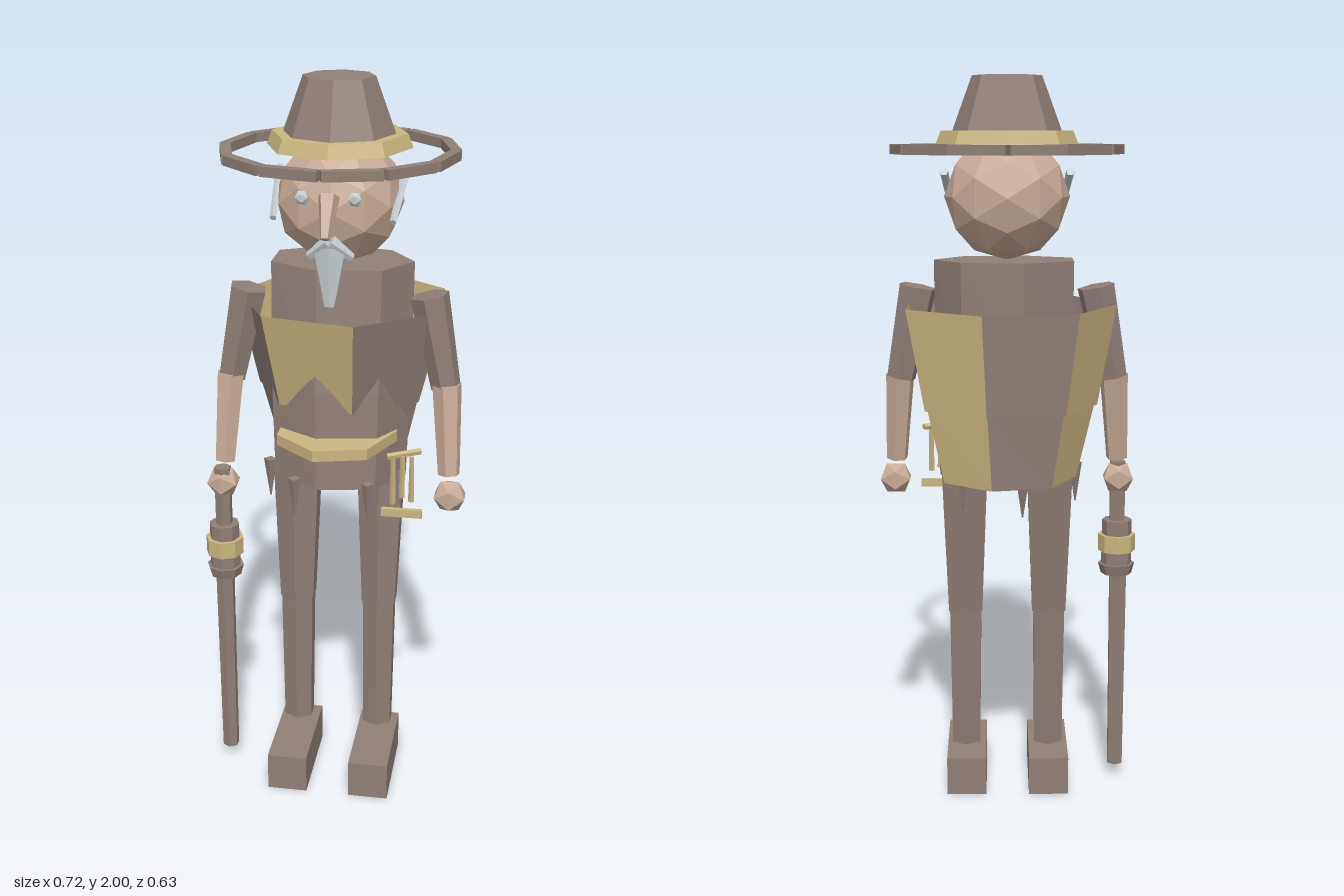
import * as THREE from 'three';

const mat = (name, color) => {
  const m = new THREE.MeshStandardMaterial({ color, flatShading: true, side: THREE.DoubleSide });
  m.name = name;
  return m;
};

export function createModel() {
  const brown = mat('brown cloth', 0x8f7f77);
  const gold = mat('straw gold', 0xcbb680);
  const skin = mat('skin', 0xc9ac98);
  const white = mat('pale grey', 0xc4cccf);
  const model = new THREE.Group();

  const add = (name, geo, material, x = 0, y = 0, z = 0) => {
    const m = new THREE.Mesh(geo, material);
    m.name = name;
    m.position.set(x, y, z);
    model.add(m);
    return m;
  };
  const box = (name, material, w, h, d, x, y, z) =>
    add(name, new THREE.BoxGeometry(w, h, d), material, x, y, z);
  const drum = (name, material, rTop, rBottom, y0, y1, x, z, sides = 8) =>
    add(name, new THREE.CylinderGeometry(rTop, rBottom, y1 - y0, sides), material, x, (y0 + y1) / 2, z);

  // Tapered prism between two points
  const limb = (name, material, from, to, r0, r1, sides = 6) => {
    const a = new THREE.Vector3(...from), b = new THREE.Vector3(...to);
    const dir = b.clone().sub(a);
    const mid = a.clone().add(b).multiplyScalar(0.5);
    const m = add(name, new THREE.CylinderGeometry(r1, r0, dir.length(), sides), material, mid.x, mid.y, mid.z);
    m.quaternion.setFromUnitVectors(new THREE.Vector3(0, 1, 0), dir.normalize());
    return m;
  };

  // Seven-sided tube through rings [y, centreZ, radiusX, radiusZ], listed bottom to top
  const SIDES = 7;
  const loft = (name, rings, phase, panels, capped) => {
    const pos = [], geo = new THREE.BufferGeometry();
    const pt = ([y, cz, rx, rz], k) => {
      const t = phase + (k % SIDES) * 2 * Math.PI / SIDES;
      return [rx * Math.cos(t), y, cz + rz * Math.sin(t)];
    };
    for (let k = 0; k < SIDES; k++) {
      const start = pos.length / 3;
      for (let i = 0; i + 1 < rings.length; i++) {
        const a = pt(rings[i], k), b = pt(rings[i + 1], k);
        const c = pt(rings[i + 1], k + 1), d = pt(rings[i], k + 1);
        pos.push(...a, ...b, ...c, ...a, ...c, ...d);
      }
      if (capped) {
        const lo = rings[0], hi = rings[rings.length - 1];
        pos.push(0, hi[0], hi[1], ...pt(hi, k + 1), ...pt(hi, k));
        pos.push(0, lo[0], lo[1], ...pt(lo, k), ...pt(lo, k + 1));
      }
      geo.addGroup(start, pos.length / 3 - start, k % panels.length);
    }
    geo.setAttribute('position', new THREE.Float32BufferAttribute(pos, 3));
    geo.computeVertexNormals();
    return add(name, geo, panels);
  };

  // Torso, belt and the two-tier panelled barrel worn around it
  loft('torso', [[0.93, 0.01, 0.185, 0.145], [1.2, 0.0, 0.193, 0.145], [1.525, -0.02, 0.195, 0.13]], 0, [brown], true);
  loft('belt', [[1.047, 0.055, 0.165, 0.18], [1.077, 0.055, 0.165, 0.18]], 0, [gold], true);
  const panels = [gold, brown, gold, gold, brown, gold, brown];
  loft('barrelUpper', [[1.145, -0.085, 0.24, 0.22], [1.41, -0.057, 0.292, 0.264]], Math.PI, panels, false);
  loft('barrelLower', [[0.95, -0.098, 0.185, 0.17], [1.155, -0.078, 0.235, 0.205]], Math.PI, panels, false);

  // Ragged coat points below the torso
  for (const [x, z] of [[-0.19, 0.03], [-0.1, 0.15], [0.1, 0.155], [0.12, -0.085], [-0.04, -0.15]]) {
    limb('coatPoint', brown, [x, 0.96, z], [x, 0.85, z], 0.018, 0.002, 4);
  }

  // Head, nose, eyes, side hair, moustache and beard
  add('head', new THREE.IcosahedronGeometry(0.167, 1), skin, 0, 1.69, 0.0);
  limb('nose', skin, [0, 1.735, 0.175], [0, 1.64, 0.23], 0.028, 0.013, 5);
  for (const s of [-1, 1]) {
    add('eye', new THREE.IcosahedronGeometry(0.019, 0), white, s * 0.066, 1.73, 0.182).scale.z = 0.6;
    limb('sideHair', white, [s * 0.152, 1.66, 0.115], [s * 0.165, 1.755, -0.05], 0.009, 0.012, 5);
    limb('moustache', white, [0, 1.615, 0.165], [s * 0.055, 1.575, 0.15], 0.022, 0.011, 5);
  }
  limb('beard', white, [0, 1.6, 0.15], [0, 1.45, 0.165], 0.047, 0.014, 6).scale.z = 0.7;

  // Hat: crown, band and an open brim of twelve bars
  drum('hatCrown', brown, 0.092, 0.157, 1.825, 2.0, 0, 0.01);
  drum('hatBand', gold, 0.174, 0.188, 1.825, 1.86, 0, 0.005);
  for (let i = 0; i < 12; i++) {
    const t = (i + 0.5) * Math.PI / 6;
    box('hatBrimBar', brown, 0.148, 0.025, 0.028, 0.286 * Math.sin(t), 1.812, 0.01 + 0.286 * Math.cos(t)).rotation.y = t;
  }

  // Arms and hands
  for (const s of [-1, 1]) {
    limb('upperArm', brown, [s * 0.24, 1.45, 0.025], [s * 0.29, 1.2, 0.03], 0.052, 0.04, 6);
    limb('forearm', skin, [s * 0.293, 1.21, 0.035], [s * 0.308, 0.965, 0.068], 0.04, 0.03, 6);
    add('hand', new THREE.IcosahedronGeometry(0.048, 0), skin, s * 0.313, 0.905, 0.077);
  }

  // Legs and boots
  for (const s of [-1, 1]) {
    const x = s * 0.117;
    limb('thigh', brown, [x, 0.95, 0.0], [x, 0.54, 0.015], 0.072, 0.054, 6);
    limb('shin', brown, [x, 0.56, 0.015], [x, 0.14, 0.022], 0.051, 0.045, 6);
    box('boot', brown, 0.112, 0.11, 0.275, x - 0.001, 0.055, 0.084);
  }

  // Walking staff with a collared head
  const sx = -0.313, sz = 0.085;
  drum('staffHandle', brown, 0.024, 0.024, 0.77, 0.95, sx, sz, 6);
  drum('staffPole', brown, 0.027, 0.024, 0.04, 0.64, sx - 0.004, sz - 0.008, 6);
  drum('staffCollar', brown, 0.042, 0.042, 0.735, 0.78, sx, sz);
  drum('staffBand', gold, 0.053, 0.053, 0.69, 0.738, sx, sz);
  drum('staffCollar', brown, 0.043, 0.043, 0.65, 0.692, sx, sz);
  drum('staffRim', brown, 0.052, 0.044, 0.622, 0.652, sx, sz);

  // Tools hanging from the left hip
  limb('toolBar', gold, [0.15, 1.04, 0.15], [0.235, 1.045, 0.11], 0.009, 0.009, 5);
  for (const [x, y] of [[0.165, 0.9], [0.19, 0.92], [0.215, 0.91]]) {
    limb('toolRod', gold, [x, 1.04, 0.14], [x, y, 0.14], 0.006, 0.008, 4);
  }
  box('toolFoot', gold, 0.11, 0.022, 0.014, 0.19, 0.875, 0.14);

  return model;
}
